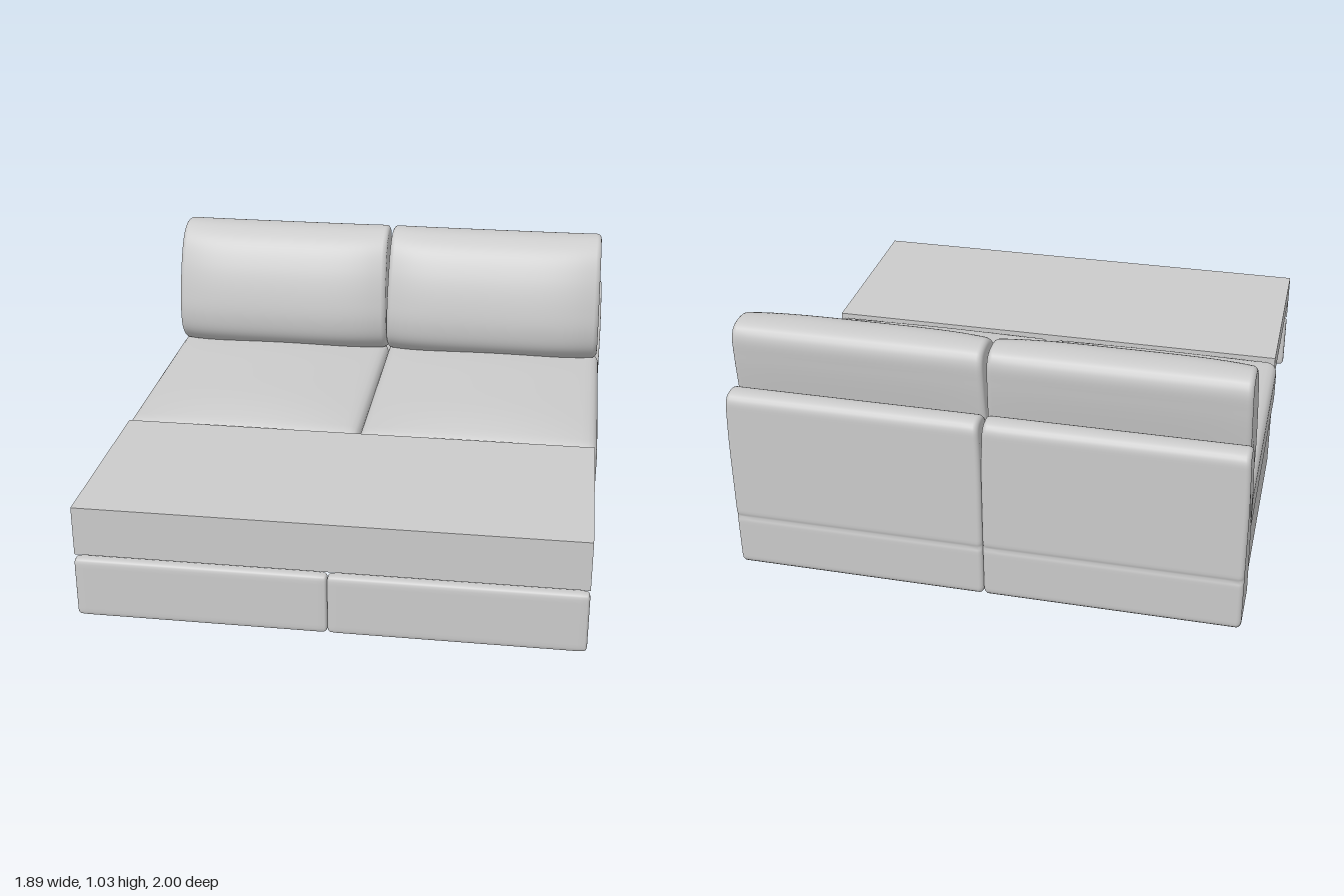
import * as THREE from 'three';
import { mergeVertices } from 'three/addons/utils/BufferGeometryUtils.js';

const mat = new THREE.MeshStandardMaterial({ color: 0xcccccc });
const darkMat = new THREE.MeshStandardMaterial({ color: 0x555555 });
const { clamp } = THREE.MathUtils;

function add(parent, name, geo, x = 0, y = 0, z = 0, material = mat) {
  const m = new THREE.Mesh(geo, material);
  m.name = name;
  m.position.set(x, y, z);
  parent.add(m);
}

// Box given by its limits; xa and xb in any order
function block(parent, name, xa, xb, y0, y1, z0, z1) {
  add(parent, name, new THREE.BoxGeometry(Math.abs(xb - xa), y1 - y0, z1 - z0),
    (xa + xb) / 2, (y0 + y1) / 2, (z0 + z1) / 2);
}

// Finely divided rounded box; warp(p, u, v, w) reshapes it, with u, v, w in -1..1
function pillow(w, h, d, r, n, warp) {
  let g = new THREE.BoxGeometry(2, 2, 2, n, n, n);
  g.deleteAttribute('uv');
  g.deleteAttribute('normal');
  g = mergeVertices(g);
  const half = new THREE.Vector3(w / 2, h / 2, d / 2);
  const inner = half.clone().subScalar(r);
  const pos = g.attributes.position;
  const p = new THREE.Vector3(), c = new THREE.Vector3();
  for (let i = 0; i < pos.count; i++) {
    p.fromBufferAttribute(pos, i);
    // crowd the grid towards the edges so the rounding stays smooth
    for (const k of ['x', 'y', 'z']) {
      p[k] = Math.sin(p[k] * Math.PI / 2) * half[k];
      c[k] = clamp(p[k], -inner[k], inner[k]);
    }
    p.sub(c).setLength(r).add(c);
    if (warp) warp(p, p.x / half.x, p.y / half.y, p.z / half.z);
    pos.setXYZ(i, p.x, p.y, p.z);
  }
  g.computeVertexNormals();
  return g;
}

// Closed (z, y) profile swept along x, with ends rounded by r; the profile
// runs up the front and down the rear. warp(p, u) reshapes each section.
function sweep(profile, width, r, warp) {
  const box = new THREE.Box2().setFromPoints(profile);
  const mid = box.getCenter(new THREE.Vector2());
  const size = box.getSize(new THREE.Vector2()).multiplyScalar(0.5);
  const ends = [[width / 2, 1]];                  // [x, inset towards the middle]
  for (let a = 0; a <= 6; a++) {
    const t = a / 6 * Math.PI / 2;
    ends.push([width / 2 - r * (1 - Math.cos(t)), r * (1 - Math.sin(t))]);
  }
  const stations = ends.map(([x, inset]) => [-x, inset]);
  for (let i = 1; i < 20; i++) stations.push([(i / 10 - 1) * (width / 2 - r), 0]);
  stations.push(...ends.reverse());

  const n = profile.length, verts = [], index = [];
  const p = new THREE.Vector3();
  stations.forEach(([x, inset], i) => {
    const kz = inset === 1 ? 0 : 1 - inset / size.x;
    const ky = inset === 1 ? 0 : 1 - inset / size.y;
    profile.forEach((q, j) => {
      p.set(x, mid.y + (q.y - mid.y) * ky, mid.x + (q.x - mid.x) * kz);
      warp(p, 2 * x / width);
      verts.push(p.x, p.y, p.z);
      if (i === stations.length - 1) return;
      const a = i * n + j, b = i * n + (j + 1) % n;
      index.push(a, a + n, b, b, a + n, b + n);
    });
  });
  const g = new THREE.BufferGeometry();
  g.setAttribute('position', new THREE.Float32BufferAttribute(verts, 3));
  g.setIndex(index);
  g.computeVertexNormals();
  return g;
}

// Polygon of [z, y, corner radius] turned into an even outline
function roundedProfile(corners, count) {
  const path = new THREE.Path();
  const n = corners.length;
  corners.forEach(([z, y, r], i) => {
    const c = new THREE.Vector2(z, y);
    const towards = ([a, b]) => new THREE.Vector2(a, b).sub(c).setLength(r).add(c);
    const start = towards(corners[(i + n - 1) % n]), end = towards(corners[(i + 1) % n]);
    if (i === 0) path.moveTo(start.x, start.y);
    else path.lineTo(start.x, start.y);
    path.quadraticCurveTo(z, y, end.x, end.y);
  });
  path.closePath();
  return path.getSpacedPoints(count).slice(0, -1);
}

// Crowned seat cushion
const seatGeo = () => pillow(0.94, 0.195, 1.015, 0.04, 24, (p, u, v, w) => {
  if (v > 0) p.y += v * 0.038 * (1 - u * u) * (1 - w ** 4);
  if (w > 0) p.z += 0.006 * w * (1 - v * v);
});

// Plump back cushion, its front drawn in towards both ends, narrower at the top
function backCushionGeo() {
  const curve = new THREE.CatmullRomCurve3([
    [-0.665, 0.515], [-0.61, 0.57], [-0.592, 0.65], [-0.604, 0.76], [-0.642, 0.88],
    [-0.7, 0.975], [-0.765, 1.018], [-0.83, 1.028], [-0.895, 1.016], [-0.915, 0.985],
    [-0.91, 0.9], [-0.88, 0.72], [-0.845, 0.54], [-0.825, 0.5], [-0.74, 0.49],
  ].map(([z, y]) => new THREE.Vector3(z, y, 0)), true);
  const profile = curve.getSpacedPoints(90).slice(0, -1).map((p) => new THREE.Vector2(p.x, p.y));
  return sweep(profile, 0.93, 0.02, (p, u) => {
    p.z -= 0.05 * u ** 4 * clamp((p.z + 0.92) / 0.32, 0, 1);
    p.x *= 1 - 0.016 * clamp((p.y - 0.6) / 0.43, 0, 1);
  });
}

// Back frame, wide at the foot, with a seam across the rear
const backFrameGeo = () => sweep(roundedProfile([
  [-0.75, 0.05, 0.015], [-0.895, 0.787, 0.05], [-0.998, 0.787, 0.045],
  [-0.992, 0.275, 0], [-0.985, 0.262, 0], [-0.99, 0.249, 0], [-0.985, 0.05, 0.025],
], 160), 0.944, 0.018, (p) => {
  p.x *= 1 - 0.016 * clamp((p.y - 0.5) / 0.28, 0, 1) ** 2;
});

// Flat plate outlined in (z, y), standing in the plane x
function plate(parent, name, pts, x, t) {
  const shape = new THREE.Shape(pts.map(([z, y]) => new THREE.Vector2(z, y)));
  const g = new THREE.ExtrudeGeometry(shape, { depth: t, bevelEnabled: false });
  g.translate(0, 0, -t / 2);
  g.rotateY(-Math.PI / 2);
  add(parent, name, g, x);
}

// Disc with its axis along x
function pin(parent, name, r, t, x, y, z) {
  const g = new THREE.CylinderGeometry(r, r, t, 20);
  g.rotateZ(Math.PI / 2);
  add(parent, name, g, x, y, z);
}

// Folding support on one side of the pull-out
function mechanism(parent, s) {
  const g = new THREE.Group();
  g.name = 'slideMechanism';
  parent.add(g);
  const x = s * 0.85;
  block(g, 'slideRail', x - 0.012, x + 0.012, 0.108, 0.143, 0, 0.95);
  plate(g, 'platformRail', [[0.965, 0.405], [0.965, 0.375], [0.665, 0.375], [0.64, 0.33],
    [0.225, 0.33], [0.225, 0.405]], x, 0.008);
  plate(g, 'hingeBracket', [[0.61, 0.335], [0.575, 0.29], [0.32, 0.285], [0.27, 0.335]], x, 0.008);
  plate(g, 'frontLink', [[0.61, 0.31], [0.635, 0.225], [0.93, 0.135], [0.93, 0.11],
    [0.615, 0.205], [0.575, 0.305]], s * 0.86, 0.01);
  plate(g, 'rearLink', [[0.305, 0.31], [0.27, 0.245], [0.305, 0.19], [0.305, 0.135],
    [0.28, 0.135], [0.28, 0.185], [0.245, 0.25], [0.275, 0.32]], s * 0.86, 0.01);
  for (const [z, y] of [[0.55, 0.305], [0.36, 0.305], [0.92, 0.125], [0.29, 0.19]])
    pin(g, 'pivot', 0.009, 0.034, x, y, z);
  // small support leg with roller
  plate(g, 'supportLeg', [[0.77, 0.115], [0.768, 0.02], [0.732, 0.02], [0.73, 0.115]], x, 0.012);
  pin(g, 'roller', 0.02, 0.03, x, 0.02, 0.75);
}

export function createModel() {
  const model = new THREE.Group();
  model.name = 'sofaBed';
  const seat = seatGeo(), cushion = backCushionGeo(), frame = backFrameGeo();
  const frontPanel = pillow(0.93, 0.235, 0.05, 0.018, 16);
  const foot = new THREE.CylinderGeometry(0.028, 0.026, 0.055, 20);

  for (const s of [-1, 1]) {
    const half = new THREE.Group();
    half.name = s > 0 ? 'leftHalf' : 'rightHalf';
    model.add(half);
    add(half, 'backFrame', frame, s * 0.472);
    add(half, 'backCushion', cushion, s * 0.4655);
    add(half, 'seatCushion', seat, s * 0.47, 0.4025, -0.295);
    add(half, 'frontPanel', frontPanel, s * 0.465, 0.1875, 0.975);

    // open-bottomed base: outer and inner walls
    for (const [a, b] of [[0.9, 0.935], [0, 0.035]])
      block(half, 'baseWall', s * a, s * b, 0.06, 0.31, -0.78, 0.145);

    // feet, the front ones held by small blocks on the walls
    for (const [x, near, far] of [[0.1, 0.035, 0.13], [0.83, 0.9, 0.8]]) {
      for (const z of [0.065, -0.855]) add(half, 'foot', foot, s * x, 0.0415, z, darkMat);
      block(half, 'footMount', s * near, s * far, 0.06, 0.075, 0.035, 0.095);
    }
    mechanism(half, s);
  }

  // pull-out platform with its front lip
  block(model, 'pullOutPlatform', -0.93, 0.93, 0.4, 0.505, 0.215, 0.98);
  block(model, 'platformLip', -0.93, 0.93, 0.315, 0.4, 0.968, 0.98);
  return model;
}
